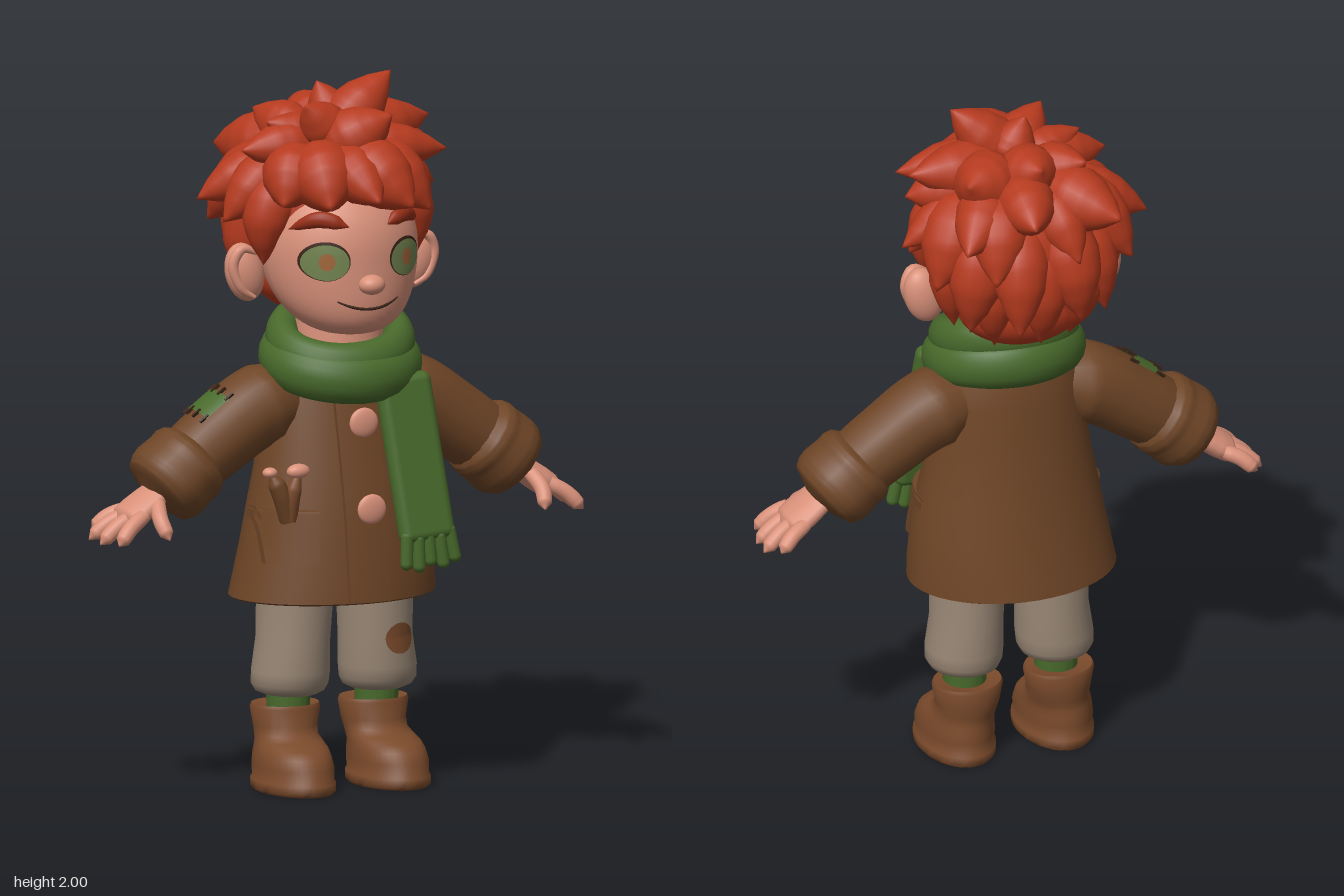
import * as THREE from 'three';
import { mergeVertices, toCreasedNormals } from 'three/addons/utils/BufferGeometryUtils.js';
import { RoundedBoxGeometry } from 'three/addons/geometries/RoundedBoxGeometry.js';

const V = (a) => new THREE.Vector3(...a);

export function createModel() {
  const model = new THREE.Group();
  model.name = 'boyInCoat';

  const material = (name, color, side = THREE.FrontSide) => {
    const m = new THREE.MeshStandardMaterial({ color, side });
    m.name = name;
    return m;
  };
  const hair = material('red hair', 0xb53a1e), brow = material('brow red', 0x9a3018);
  const skin = material('skin', 0xd9917a), coat = material('coat brown', 0x6e4526, THREE.DoubleSide);
  const green = material('scarf green', 0x48692b, THREE.DoubleSide), linen = material('trouser beige', 0x998775);
  const leather = material('boot leather', 0x7a4a2b), eyeGreen = material('eye green', 0x71834f);
  const amber = material('pupil amber', 0xa0663a), dark = material('dark brown', 0x3a2317);

  const add = (name, geometry, mat, parent = model) => {
    const mesh = new THREE.Mesh(geometry, mat);
    mesh.name = name;
    parent.add(mesh);
    return mesh;
  };
  const ball = (name, mat, p, size) => {
    const mesh = add(name, new THREE.SphereGeometry(1, 32, 24), mat);
    mesh.position.set(...p);
    mesh.scale.set(...size);
    return mesh;
  };

  // Tube of varying radius; squash scales the section along the world axes.
  const tube = (name, mat, points, radii, squash = [1, 1, 1], closed = false) => {
    const n = closed ? 64 : 24, around = 16;
    const curve = new THREE.CatmullRomCurve3(points.map(V), closed);
    let g = new THREE.TubeGeometry(curve, n, 1, around, closed);
    const pos = g.attributes.position, v = new THREE.Vector3(), s = V(squash);
    for (let k = 0; k < pos.count; k++) {
      const t = Math.floor(k / (around + 1)) / n, u = t * (radii.length - 1);
      const i = Math.min(Math.floor(u), radii.length - 2);
      const r = THREE.MathUtils.lerp(radii[i], radii[i + 1], u - i);
      const c = curve.getPointAt(t);
      v.fromBufferAttribute(pos, k).sub(c).multiplyScalar(r).multiply(s).add(c);
      pos.setXYZ(k, v.x, v.y, v.z);
    }
    g.deleteAttribute('uv');
    g.deleteAttribute('normal');
    g = mergeVertices(g);
    g.computeVertexNormals();
    return add(name, g, mat);
  };

  // Upright loft through ellipses; each row is [y, cx, cz, rx, rz].
  const loft = (name, mat, rows, side = 1) => {
    const n = 48, p = [], index = [];
    rows.forEach(([y, cx, cz, rx, rz], i) => {
      for (let j = 0; j < n; j++) {
        const a = (j / n) * Math.PI * 2;
        p.push(cx * side + rx * Math.sin(a), y, cz + rz * Math.cos(a));
        if (i === rows.length - 1) continue;
        const q = i * n + j, r = i * n + (j + 1) % n;
        index.push(q, r, r + n, q, r + n, q + n);
      }
    });
    const g = new THREE.BufferGeometry();
    g.setAttribute('position', new THREE.Float32BufferAttribute(p, 3));
    g.setIndex(index);
    return add(name, toCreasedNormals(g, 0.9), mat);
  };
  // Front depth of a loft at x, y
  const front = (rows) => (x, y) => {
    const i = rows.findIndex((r, k) => k < rows.length - 1 && r[0] <= y && y < rows[k + 1][0]);
    const t = (y - rows[i][0]) / (rows[i + 1][0] - rows[i][0]);
    const [cx, cz, rx, rz] = [1, 2, 3, 4].map((k) => THREE.MathUtils.lerp(rows[i][k], rows[i + 1][k], t));
    return cz + rz * Math.sqrt(Math.max(0, 1 - ((x - cx) / rx) ** 2));
  };
  // Moves a flat geometry onto a front surface
  const wrap = (g, surface, cx, cy, lift) => {
    const pos = g.attributes.position;
    for (let k = 0; k < pos.count; k++) {
      const x = cx + pos.getX(k), y = cy + pos.getY(k);
      pos.setXYZ(k, x, y, surface(x, y) + pos.getZ(k) + lift);
    }
    g.computeVertexNormals();
    return g;
  };
  const disc = (rx, ry) => new THREE.RingGeometry(0, 1, 32, 5).scale(rx, ry, 1);

  // Legs
  const legRows = [[0.265, 0.132, 0.025, 0.001, 0.001], [0.265, 0.132, 0.025, 0.075, 0.08],
    [0.275, 0.134, 0.026, 0.097, 0.098], [0.295, 0.135, 0.028, 0.108, 0.109], [0.33, 0.133, 0.03, 0.109, 0.113],
    [0.42, 0.126, 0.03, 0.102, 0.112], [0.55, 0.122, 0.035, 0.105, 0.118], [0.75, 0.115, 0.035, 0.1, 0.12]];
  const bootRows = [[0, 0.145, 0.07, 0.001, 0.001], [0, 0.145, 0.072, 0.1, 0.155], [0.008, 0.145, 0.073, 0.107, 0.162],
    [0.03, 0.145, 0.073, 0.107, 0.162], [0.036, 0.145, 0.073, 0.102, 0.157], [0.07, 0.145, 0.071, 0.104, 0.156],
    [0.1, 0.144, 0.063, 0.1, 0.146], [0.12, 0.142, 0.052, 0.096, 0.131], [0.135, 0.139, 0.03, 0.091, 0.109],
    [0.15, 0.137, 0.01, 0.088, 0.092], [0.175, 0.135, 0, 0.091, 0.086], [0.225, 0.135, -0.001, 0.1, 0.089],
    [0.235, 0.135, -0.001, 0.096, 0.085], [0.215, 0.135, 0.01, 0.001, 0.001]];
  for (const s of [1, -1]) {
    loft('trouserLeg', linen, legRows, s);
    loft('boot', leather, bootRows, s);
    loft('sock', green, [[0.2, 0.135, 0.02, 0.06, 0.06], [0.29, 0.135, 0.02, 0.062, 0.062]], s);
  }
  add('kneePatch', wrap(disc(0.046, 0.044), front(legRows), 0.15, 0.415, 0.006), leather);

  // Coat
  const coatRows = [[0.6, -0.005, 0.04, 0.275, 0.205], [0.54, -0.01, 0.037, 0.29, 0.22], [0.545, -0.01, 0.037, 0.299, 0.229],
    [0.6, -0.005, 0.039, 0.293, 0.222], [0.7, 0, 0.042, 0.278, 0.207], [0.8, 0, 0.043, 0.26, 0.192],
    [0.9, 0, 0.04, 0.239, 0.174], [1.0, 0, 0.035, 0.222, 0.157], [1.1, 0, 0.028, 0.208, 0.139],
    [1.18, 0, 0.022, 0.19, 0.122], [1.24, 0, 0.02, 0.15, 0.1], [1.27, 0, 0.02, 0.08, 0.06]];
  loft('coatBody', coat, coatRows);
  const coatFront = front(coatRows);
  const panel = (name, x, y, w, h, thick) =>
    add(name, wrap(new THREE.BoxGeometry(w, h, thick, 10, 12, 1), coatFront, x, y, 0), coat);
  panel('placket', -0.002, 0.84, 0.125, 0.585, 0.03);
  for (const s of [1, -1]) {
    panel('pocket', s * 0.205, 0.725, 0.12, 0.14, 0.05);
    panel('pocketFlap', s * 0.2, 0.79, 0.12, 0.03, 0.064);
  }
  for (const y of [1.04, 0.805]) ball('button', skin, [0.01, y, coatFront(0.01, y) + 0.02], [0.043, 0.042, 0.014]);

  // Trinkets in the right pocket
  tube('pocketStick', coat, [[-0.21, 0.78, 0.18], [-0.24, 0.86, 0.19], [-0.272, 0.92, 0.19]], [0.026, 0.026, 0.026, 0.024, 0]);
  ball('stickEnd', skin, [-0.272, 0.918, 0.19], [0.021, 0.015, 0.02]);
  tube('pocketPeg', leather, [[-0.21, 0.78, 0.185], [-0.205, 0.86, 0.2], [-0.19, 0.912, 0.2]], [0.022, 0.022, 0.022, 0.01]);
  ball('pegEnd', skin, [-0.19, 0.918, 0.2], [0.034, 0.021, 0.022]);

  // Arms and hands
  const fingers = [[0.705, 0.752, -0.052, -0.015], [0.738, 0.735, 0, 0.03], [0.735, 0.73, 0.068, 0.07], [0.712, 0.735, 0.142, 0.11]];
  const fingerRadii = [0.02, 0.022, 0.022, 0.022, 0.022, 0.02, 0];
  for (const s of [1, -1]) {
    tube('sleeve', coat, [[s * 0.11, 1.105, 0.03], [s * 0.24, 1.075, 0.032], [s * 0.36, 1.0, 0.035], [s * 0.48, 0.915, 0.04]],
      [0.08, 0.116, 0.11, 0.106, 0.1]);
    tube('cuff', coat, [[s * 0.42, 0.965, 0.041], [s * 0.5, 0.9, 0.041], [s * 0.562, 0.848, 0.041]],
      [0.085, 0.115, 0.122, 0.12, 0.122, 0.124, 0.12, 0.108, 0.045], [1, 1, 1.08]);
    tube('palm', skin, [[s * 0.52, 0.885, 0.045], [s * 0.6, 0.825, 0.045], [s * 0.675, 0.772, 0.045]],
      [0.03, 0.033, 0.036, 0.038, 0.036, 0], [1, 1, 2]);
    for (const [x, y, z, z0] of fingers) {
      tube('finger', skin, [[s * 0.62, 0.81, z0], [s * (0.31 + x / 2), 0.415 + y / 2, (z + z0) / 2], [s * x, y, z]], fingerRadii);
    }
    tube('thumb', skin, [[s * 0.57, 0.845, 0.09], [s * 0.585, 0.8, 0.145], [s * 0.575, 0.748, 0.185]], fingerRadii);
  }

  // Patch on the right sleeve
  const patch = new THREE.Group();
  patch.name = 'sleevePatch';
  patch.position.set(-0.335, 1.017, 0.037);
  patch.rotation.z = 2.2;
  model.add(patch);
  add('patchCloth', new THREE.CylinderGeometry(0.116, 0.116, 0.085, 12, 1, true, 0.95, 1), green, patch);
  for (let i = 0; i < 8; i++) {
    const a = 1 + (i >> 1) * 0.3;
    const stitch = add('stitch', new THREE.BoxGeometry(0.008, 0.03, 0.006), dark, patch);
    stitch.position.set(0.116 * Math.sin(a), (i % 2 ? 1 : -1) * 0.047, 0.116 * Math.cos(a));
    stitch.rotation.y = a - Math.PI / 2;
  }

  // Scarf: two tilted wraps, a hanging tail and its fringe
  [[1.203, 0.18, 0.155, 0.035, 0.054, 0], [1.258, 0.165, 0.138, 0.052, 0.05, 0.012]].forEach(([y, a, b, tilt, r, lean]) => {
    const ring = Array.from({ length: 16 }, (_, i) => {
      const t = (i / 16) * Math.PI * 2;
      return [a * Math.sin(t), y - tilt * Math.cos(t) + lean * Math.sin(t), 0.073 + b * Math.cos(t)];
    });
    tube('scarfWrap', green, ring, [r, r * 0.92, r * 1.05, r * 0.95, r], [1, 1.3, 1], true);
  });
  const tail = new THREE.Group();
  tail.name = 'scarfTail';
  tail.position.set(0.142, 0.94, 0.252);
  tail.rotation.set(-0.19, 0, 0.085);
  model.add(tail);
  add('tailCloth', new RoundedBoxGeometry(0.165, 0.47, 0.058, 5, 0.027), green, tail);
  for (let i = 0; i < 5; i++) {
    const strand = add('fringe', new THREE.CapsuleGeometry(0.018, 0.075, 6, 10), green, tail);
    strand.position.set((i - 2) * 0.035, -0.25 - (i % 2) * 0.012, 0.004);
    strand.rotation.set(0.15, 0, (i - 2) * 0.06);
  }

  // Head
  add('neck', new THREE.CylinderGeometry(0.12, 0.13, 0.2, 32), skin).position.set(0, 1.25, 0.06);
  const jaw = (v) => (v < 0 ? Math.max(1 - v * v, 1e-4) ** -0.12 : 1);
  const chin = (v) => (v < 0 ? 0.08 * v * v : 0);
  const head = new THREE.SphereGeometry(1, 48, 36), hp = head.attributes.position;
  for (let k = 0; k < hp.count; k++) {
    const v = hp.getY(k), f = jaw(v);
    hp.setXYZ(k, 0.222 * f * hp.getX(k), 1.52 + 0.235 * v, 0.06 + 0.21 * f * hp.getZ(k) + chin(v));
  }
  head.computeVertexNormals();
  add('head', head, skin);
  const face = (x, y) => {
    const v = (y - 1.52) / 0.235, f = jaw(v);
    return 0.06 + 0.21 * f * Math.sqrt(Math.max(0, 1 - v * v - (x / (0.222 * f)) ** 2)) + chin(v);
  };
  const onFace = (x, y, lift = 0) => [x, y, face(x, y) + lift];

  // Face details
  ball('nose', skin, [0, 1.44, 0.275], [0.038, 0.028, 0.034]);
  tube('mouth', dark, [-4, -3, -2, -1, 0, 1, 2, 3, 4].map((i) => onFace(i * 0.023, 1.37 + 0.0015 * i * i, 0.001)),
    [0.002, 0.004, 0.004, 0.004, 0.002]);
  for (const s of [1, -1]) {
    const x = s * 0.122;
    add('eyeOutline', wrap(disc(0.062, 0.055), face, x, 1.507, 0.003), dark);
    add('eye', wrap(disc(0.058, 0.05), face, x, 1.504, 0.006), eyeGreen);
    add('pupil', wrap(disc(0.02, 0.024), face, x, 1.506, 0.009), amber);
    tube('eyebrow', brow, [onFace(s * 0.058, 1.602, 0.004), onFace(s * 0.125, 1.622, 0.006), onFace(s * 0.195, 1.59, 0.006)],
      [0, 0.02, 0.024, 0.022, 0.015, 0], [1, 1, 0.7]);
    const ear = ball('ear', skin, [s * 0.262, 1.453, 0.004], [0.056, 0.084, 0.043]);
    ear.rotation.z = -s * 0.25;
    tube('earRim', skin, [[s * 0.24, 1.51, 0.035], [s * 0.283, 1.523, 0.033], [s * 0.307, 1.48, 0.028], [s * 0.283, 1.41, 0.033], [s * 0.245, 1.385, 0.035]],
      [0.006, 0.015, 0.015, 0.013, 0.006]);
  }

  // Hair: a cap, the nape and tapering locks that sweep from a root direction to their tips
  ball('hairCap', hair, [0, 1.62, -0.035], [0.258, 0.24, 0.24]);
  ball('napeHair', hair, [0, 1.43, -0.075], [0.19, 0.12, 0.145]);
  const centre = V([0, 1.62, -0.01]), shell = V([0.25, 0.24, 0.26]);
  const lock = (tip, radius, root) => {
    const d = V(tip).sub(centre).normalize();
    const on = (t, k) => V(root).lerp(d, t).normalize().multiply(shell).multiplyScalar(k).add(centre).toArray();
    tube('hairLock', hair, [on(0.35, 0.75), on(0.66, 0.92), tip], [0, 0.7, 0.95, 1, 0.85, 0.5, 0].map((k) => k * radius));
  };
  const fringe = [[-0.23, 1.66, 0.19], [-0.13, 1.66, 0.29], [0, 1.675, 0.335], [0.11, 1.655, 0.32], [0.2, 1.63, 0.24]];
  const sides = [[-0.365, 1.65, -0.09], [-0.335, 1.6, 0.02], [0.355, 1.65, -0.07], [0.32, 1.77, 0],
    [0.3, 1.58, 0.02], [0.235, 1.48, 0.07], [-0.235, 1.48, 0.07]];
  const sweptLeft = [[0.17, 1.995, 0.04], [0.32, 1.85, -0.03], [0.3, 1.78, 0.13], [0.1, 1.9, 0.2]];
  const sweptRight = [[-0.03, 1.97, -0.02], [-0.13, 1.93, 0.12], [-0.21, 1.875, 0.03], [-0.29, 1.8, 0.04]];
  const back = [[0, 1.9, -0.22], [0.2, 1.87, -0.19], [-0.15, 1.88, -0.18], [-0.2, 1.76, -0.33], [0.06, 1.78, -0.345],
    [0.24, 1.7, -0.28], [0.29, 1.55, -0.17], [-0.08, 1.64, -0.32], [0.16, 1.6, -0.3], [-0.28, 1.57, -0.2]];
  const nape = [[0.09, 1.43, -0.3], [-0.1, 1.44, -0.28], [-0.2, 1.42, -0.2], [0.2, 1.42, -0.2], [0, 1.36, -0.22],
    [0.11, 1.34, -0.15], [-0.11, 1.34, -0.15], [0.2, 1.38, -0.07], [-0.2, 1.38, -0.07]];
  const groups = [[fringe, 0.088, [-0.2, 1, -0.1]], [sides, 0.07, [0, 1, 0]], [sweptLeft, 0.078, [-0.7, 0.8, 0.2]],
    [sweptRight, 0.066, [0.45, 0.85, 0.1]], [back, 0.085, [0, 1, 0.25]], [nape, 0.082, [0, 1, 0]]];
  for (const [tips, radius, root] of groups) {
    tips.forEach((tip, i) => lock(tip, radius * (1 + 0.12 * Math.sin(i * 2.4)), root));
  }

  return model;
}
